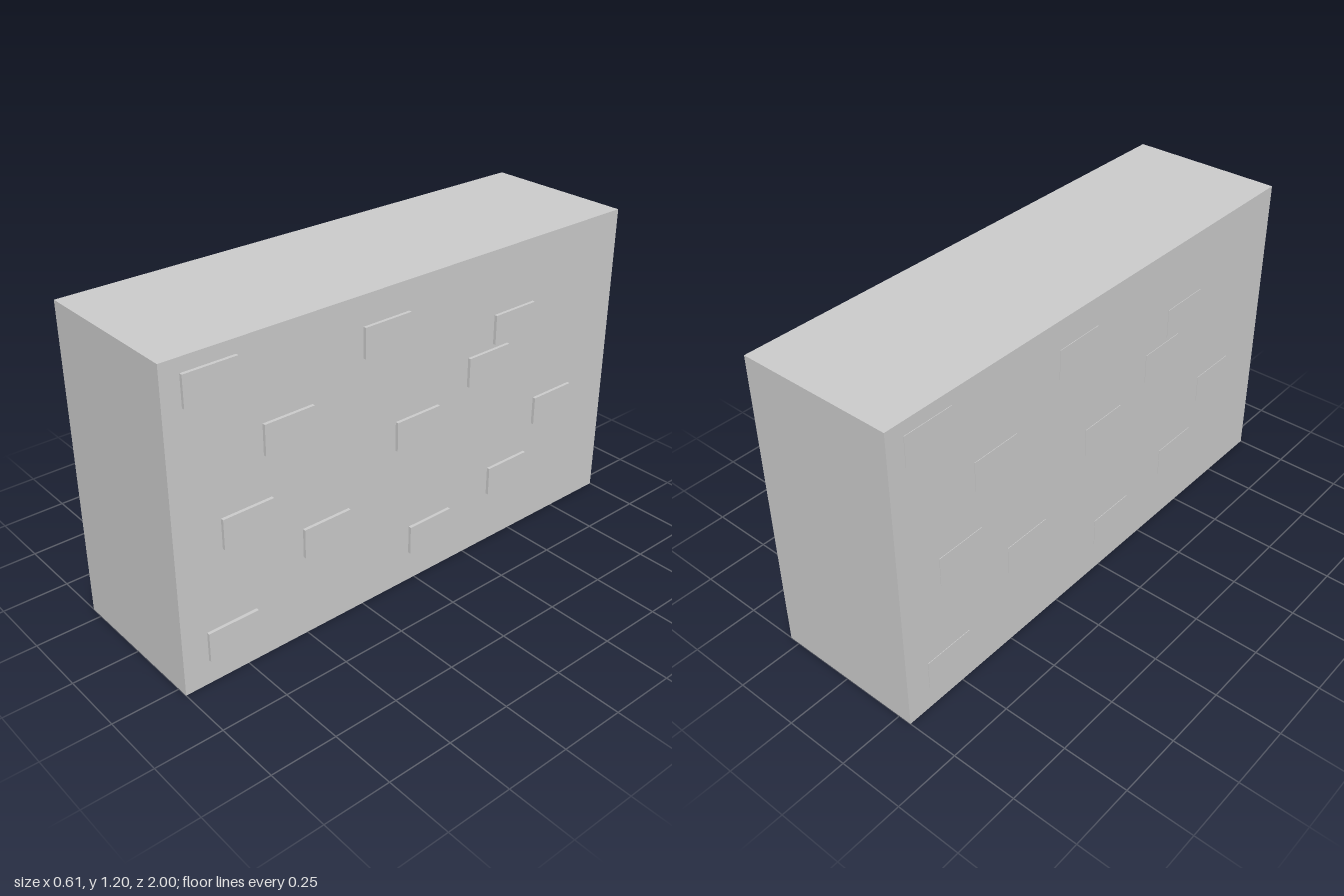
import * as THREE from 'three';

export function createModel() {
  const model = new THREE.Group();
  model.name = 'wallBlock';
  const material = new THREE.MeshStandardMaterial({ color: 0xcccccc, flatShading: true });

  // Main block, spanning xMin..xMax
  const xMin = -0.302, xMax = 0.292, height = 1.195;
  const block = new THREE.Mesh(new THREE.BoxGeometry(xMax - xMin, height, 2), material);
  block.name = 'block';
  block.position.set((xMin + xMax) / 2, height / 2, 0);
  model.add(block);

  // Scattered brick faces: centre [z, y] on the left side
  const bricks = [
    [0.833, 1.088], [0.147, 1.029], [0.554, 0.825], [-0.458, 0.895],
    [-0.335, 0.766], [0.003, 0.632], [0.726, 0.552], [-0.694, 0.488],
    [0.41, 0.375], [-0.463, 0.268], [-0.067, 0.177], [0.806, 0.15],
  ];
  const depth = 0.04;
  const brickGeometry = new THREE.BoxGeometry(depth, 0.112, 0.196);

  // The other side repeats the pattern turned half round, almost flush
  const addBricks = (name, side, outerX) => {
    const group = new THREE.Group();
    group.name = name;
    for (const [z, y] of bricks) {
      const brick = new THREE.Mesh(brickGeometry, material);
      brick.name = 'brick';
      brick.position.set(side * (outerX - depth / 2), y, side * z);
      group.add(brick);
    }
    model.add(group);
  };
  addBricks('leftBricks', 1, 0.304);
  addBricks('rightBricks', -1, 0.304);

  return model;
}
